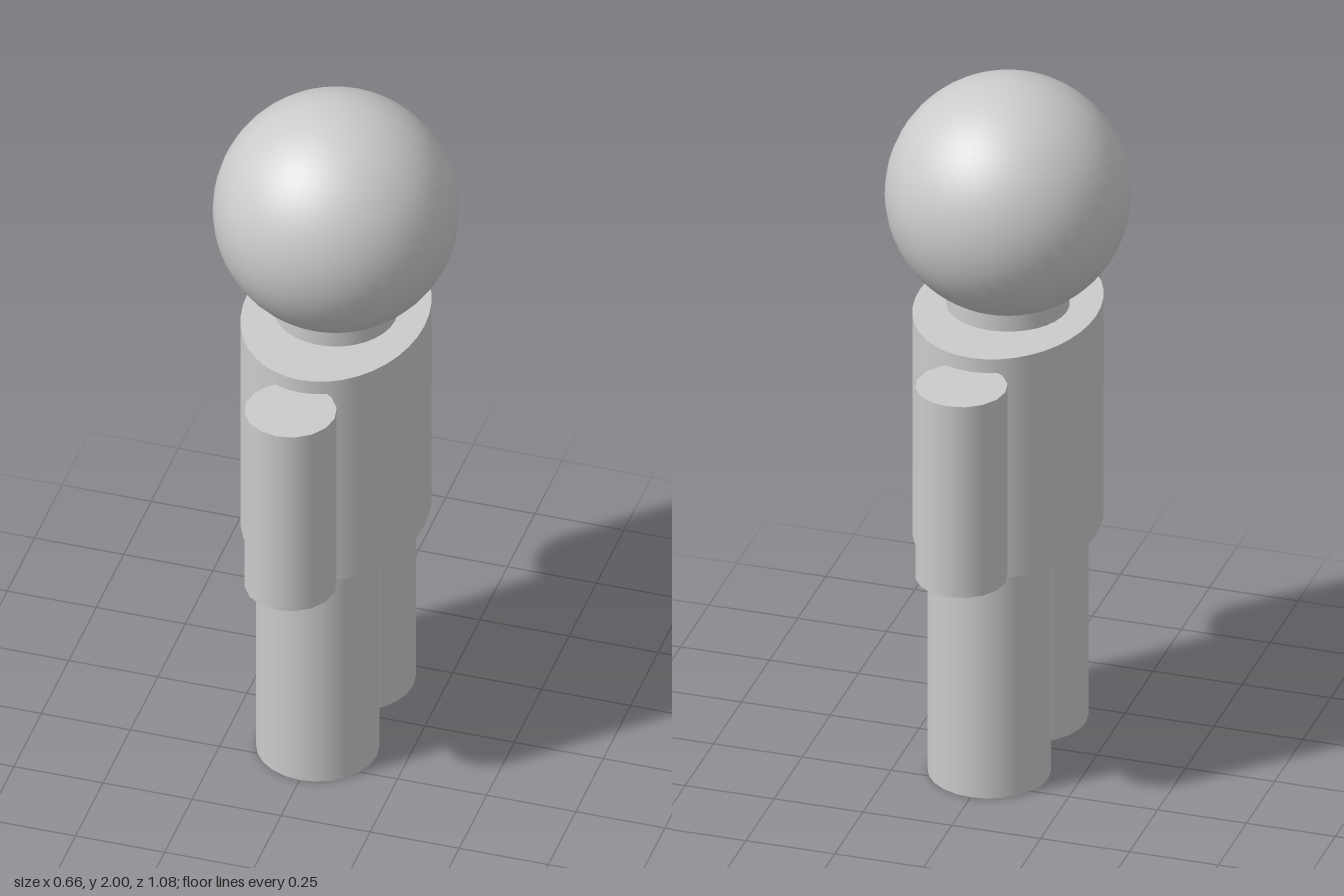
import * as THREE from 'three';

export function createModel() {
  const model = new THREE.Group();
  model.name = 'figure';
  const material = new THREE.MeshStandardMaterial({ color: 0xcccccc });

  const add = (name, geometry, x, y, z) => {
    const mesh = new THREE.Mesh(geometry, material);
    mesh.name = name;
    mesh.position.set(x, y, z);
    model.add(mesh);
    return mesh;
  };

  // Upright cylinder given by its bottom and top heights
  const post = (name, radius, bottom, top, z, sides) =>
    add(name, new THREE.CylinderGeometry(radius, radius, top - bottom, sides), 0, (bottom + top) / 2, z);

  // Head and neck
  add('head', new THREE.SphereGeometry(0.331, 40, 28), 0, 1.669, 0);
  post('neck', 0.166, 1.3, 1.42, 0, 32);

  // Oval torso, narrower from front to back of the body
  const torso = post('torso', 0.331, 0.67, 1.335, 0, 40);
  torso.scale.x = 0.75;

  // Arms and legs stand side by side along z
  for (const [side, s] of [['front', 1], ['back', -1]]) {
    post(side + 'Arm', 0.124, 0.713, 1.293, s * 0.414, 16);
    post(side + 'Leg', 0.166, 0, 0.675, s * 0.166, 24);
  }

  return model;
}
